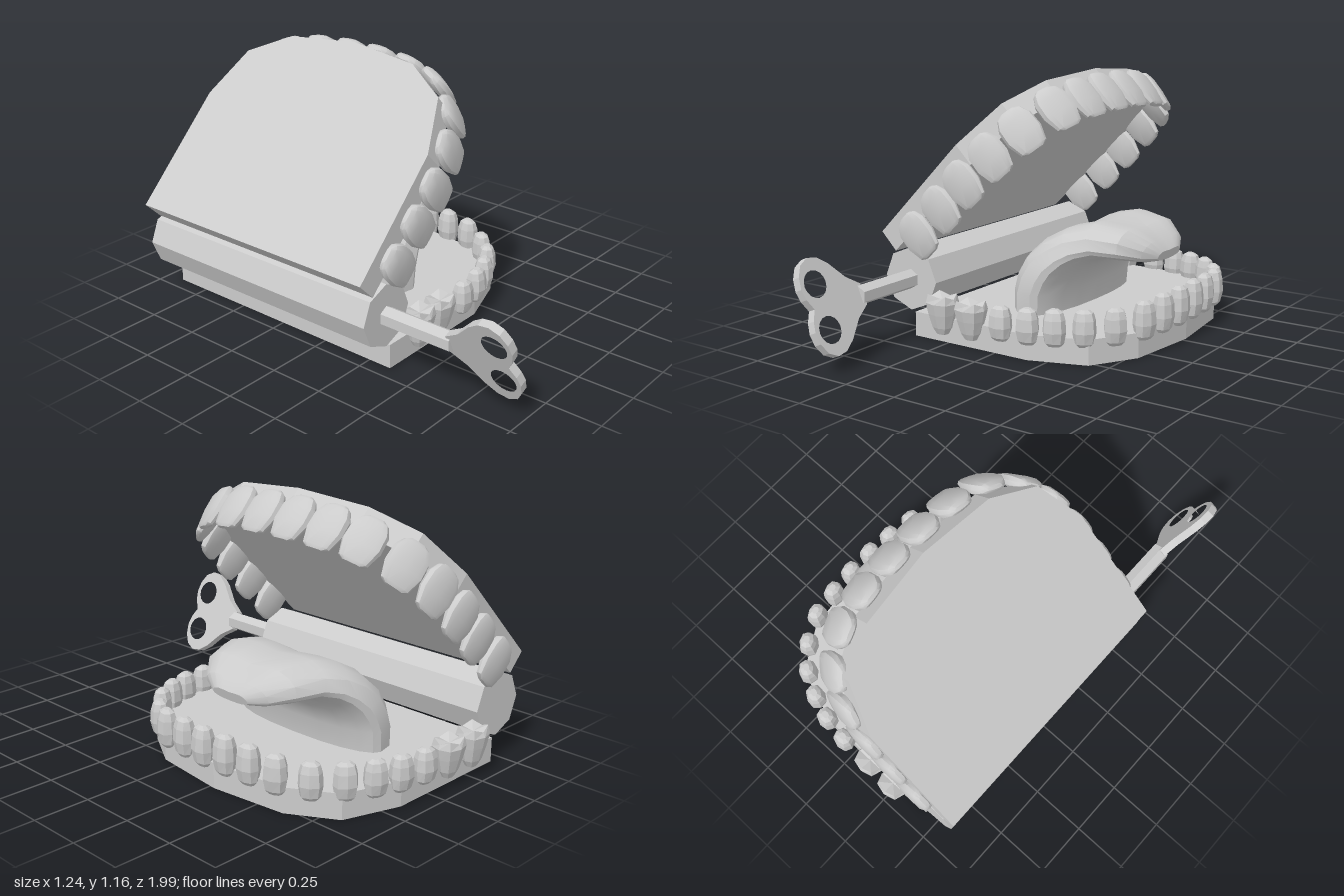
import * as THREE from 'three';
import { toCreasedNormals } from 'three/addons/utils/BufferGeometryUtils.js';

const flat = new THREE.MeshStandardMaterial({ color: 0xcccccc, flatShading: true });
const smooth = new THREE.MeshStandardMaterial({ color: 0xcccccc });

function add(parent, name, geometry, material = flat) {
  const mesh = new THREE.Mesh(geometry, material);
  mesh.name = name;
  parent.add(mesh);
  return mesh;
}

// Closed skin over equal rings of points; capDip sinks the centre of the last cap
function loft(rings, capDip = 0) {
  const n = rings[0].length, last = rings.length - 1, index = [];
  const centre = (ring) => ring.reduce((s, p) => s.add(p), new THREE.Vector3()).divideScalar(n);
  const end = centre(rings[last]);
  end.y -= capDip;
  const points = [...rings.flat(), centre(rings[0]), end];
  const c0 = points.length - 2, c1 = c0 + 1;
  for (let j = 0; j < n; j++) {
    const k = (j + 1) % n;
    for (let i = 0; i < last; i++) {
      const a = i * n + j, b = i * n + k;
      index.push(a, a + n, b, b, a + n, b + n);
    }
    index.push(c0, j, k, c1, last * n + k, last * n + j);
  }
  const g = new THREE.BufferGeometry().setFromPoints(points);
  g.setIndex(index);
  return g;
}

const power = (v, p) => Math.sign(v) * Math.abs(v) ** p;

// Tooth from sections [y, half width, half thickness]; cusp raises the top corners
function toothGeometry(sections, sides, squareness, cusp = 0) {
  const rings = sections.map(([y, w, t], i) => Array.from({ length: sides }, (_, j) => {
    const a = (j / sides) * Math.PI * 2;
    const lift = i === sections.length - 1 ? cusp * Math.abs(Math.sin(2 * a)) : 0;
    return new THREE.Vector3(w * power(Math.cos(a), squareness), y + lift, t * power(Math.sin(a), squareness));
  }));
  return loft(rings, cusp);
}

// Places teeth [x, half-arch z, outward angle, y scale] on both sides of an arch
function toothRow(parent, name, geometry, spots, material) {
  for (const [x, z, angle, tall = 1] of spots) {
    for (const side of [1, -1]) {
      const tooth = add(parent, name, geometry, material);
      tooth.position.set(x, 0, z * side);
      tooth.rotation.y = side > 0 ? angle : Math.PI - angle;
      tooth.scale.y = tall;
    }
  }
}

// D-shaped jaw plate, top at y = 0, straight back edge at x = 0
function jawPlate() {
  const half = [[0, 0.635], [0.6, 0.635], [0.85, 0.55], [0.97, 0.35], [1.01, 0]];
  const mirrored = half.slice(0, -1).reverse().map(([x, z]) => [x, -z]);
  const shape = new THREE.Shape([...half, ...mirrored].map((p) => new THREE.Vector2(...p)));
  return new THREE.ExtrudeGeometry(shape, { depth: 0.11, bevelEnabled: false }).rotateX(Math.PI / 2);
}

function tongueGeometry() {
  // Sections: outer x, y, inner x, y, half width
  const sections = [
    [-0.17, 0.08, 0.11, 0.08, 0.4], [-0.17, 0.2, 0.12, 0.2, 0.405],
    [-0.155, 0.28, 0.145, 0.25, 0.4], [-0.115, 0.36, 0.17, 0.285, 0.39],
    [-0.03, 0.44, 0.2, 0.315, 0.37], [0.08, 0.5, 0.23, 0.335, 0.345],
    [0.21, 0.53, 0.28, 0.35, 0.31], [0.37, 0.51, 0.36, 0.345, 0.26],
    [0.46, 0.45, 0.43, 0.342, 0.18], [0.49, 0.4, 0.475, 0.35, 0.1],
  ];
  const sides = 20;
  return loft(sections.map(([ox, oy, ix, iy, w]) => Array.from({ length: sides }, (_, j) => {
    const a = (j / sides) * Math.PI * 2, c = Math.cos(a), s = Math.sin(a);
    // Groove along the middle of the upper face
    const groove = s > 0 ? 1 - 0.26 * Math.exp(-((c / 0.4) ** 2)) : 1;
    const f = s > 0 ? 0.35 + 0.65 * power(s, 0.75) * groove : 0.35 + 0.35 * s;
    return new THREE.Vector3(ix + (ox - ix) * f, iy + (oy - iy) * f, w * power(c, 0.85));
  })));
}

function windingKey() {
  const key = new THREE.Group();
  key.name = 'windingKey';
  const shaft = add(key, 'keyShaft', new THREE.CylinderGeometry(0.044, 0.044, 0.4, 6).rotateX(Math.PI / 2));
  shaft.position.set(-0.458, 0.257, 0.5);

  // Heart-shaped handle with two finger holes
  const right = [[0.68, 0.045], [0.75, 0.09], [0.82, 0.165], [0.87, 0.2], [0.92, 0.208],
    [0.965, 0.185], [0.992, 0.14], [1, 0.09], [0.99, 0.045], [0.965, 0]];
  const left = right.slice(0, -1).reverse().map(([z, u]) => [z, -u]);
  const shape = new THREE.Shape([...right, ...left].map((p) => new THREE.Vector2(...p)));
  for (const u of [0.097, -0.097]) {
    shape.holes.push(new THREE.Path().absarc(0.92, u, 0.058, 0, Math.PI * 2, true));
  }
  const g = new THREE.ExtrudeGeometry(shape, { depth: 0.036, bevelEnabled: false, curveSegments: 8 });
  g.translate(0, 0, -0.018);
  const along = new THREE.Vector3(0, 0, 1);
  const across = new THREE.Vector3(-0.39, 0.92, 0).normalize();
  g.applyMatrix4(new THREE.Matrix4().makeBasis(along, across, along.clone().cross(across)));
  add(key, 'keyHandle', g).position.set(-0.458, 0.257, 0);
  return key;
}

export function createModel() {
  const model = new THREE.Group();
  model.name = 'windUpTeeth';
  const mouth = new THREE.Group();
  mouth.name = 'mouth';
  mouth.position.z = -0.275;
  model.add(mouth, windingKey());

  // Octagonal hinge barrel across the back
  const hinge = add(mouth, 'hinge', new THREE.CylinderGeometry(0.142, 0.142, 1.27, 8).rotateX(Math.PI / 2));
  hinge.position.set(-0.458, 0.257, 0);

  // Lower jaw with pegs round the front and two molars on each side
  const lower = new THREE.Group();
  lower.name = 'lowerJaw';
  mouth.add(lower);
  add(lower, 'lowerPlate', jawPlate()).position.set(-0.435, 0.11, 0);
  const peg = toothGeometry([[0.07, 0.028, 0.018], [0.085, 0.042, 0.032], [0.13, 0.05, 0.044],
    [0.18, 0.047, 0.04], [0.21, 0.038, 0.03], [0.222, 0.018, 0.014]], 8, 0.8);
  toothRow(lower, 'lowerTooth', peg, [[0.045, 0.655, 0.05], [0.17, 0.637, 0.15, 1.02], [0.28, 0.6, 0.35, 1.04],
    [0.388, 0.54, 0.6, 1.05], [0.48, 0.445, 0.95, 1.05], [0.545, 0.32, 1.25, 1.11],
    [0.563, 0.19, 1.45, 1.14], [0.572, 0.064, 1.55, 1.16]]);
  const molar = toothGeometry([[0.045, 0.026, 0.022], [0.075, 0.044, 0.036], [0.135, 0.06, 0.052],
    [0.185, 0.07, 0.062], [0.205, 0.062, 0.052]], 8, 0.75, 0.018);
  toothRow(lower, 'lowerMolar', molar, [[-0.265, 0.655, 0], [-0.115, 0.648, 0, 0.96]]);

  // Upper jaw swung open by 45 degrees
  const upper = new THREE.Group();
  upper.name = 'upperJaw';
  upper.position.set(-0.62, 0.45, 0);
  upper.rotation.z = Math.PI / 4;
  mouth.add(upper);
  add(upper, 'upperPlate', jawPlate());
  const incisor = toCreasedNormals(toothGeometry([[-0.25, 0.04, 0.01], [-0.238, 0.062, 0.018],
    [-0.17, 0.083, 0.028], [-0.1, 0.08, 0.032], [-0.058, 0.058, 0.024], [-0.042, 0.034, 0.01]], 12, 0.65), 0.6);
  toothRow(upper, 'upperTooth', incisor, [[0.166, 0.648, 0], [0.346, 0.648, 0], [0.516, 0.645, 0.05],
    [0.69, 0.62, 0.25], [0.845, 0.55, 0.65], [0.965, 0.415, 1.1], [1.01, 0.254, 1.42], [1.025, 0.085, 1.53]], smooth);

  // Curled tongue
  add(mouth, 'tongue', toCreasedNormals(tongueGeometry(), 0.45), smooth);
  return model;
}
